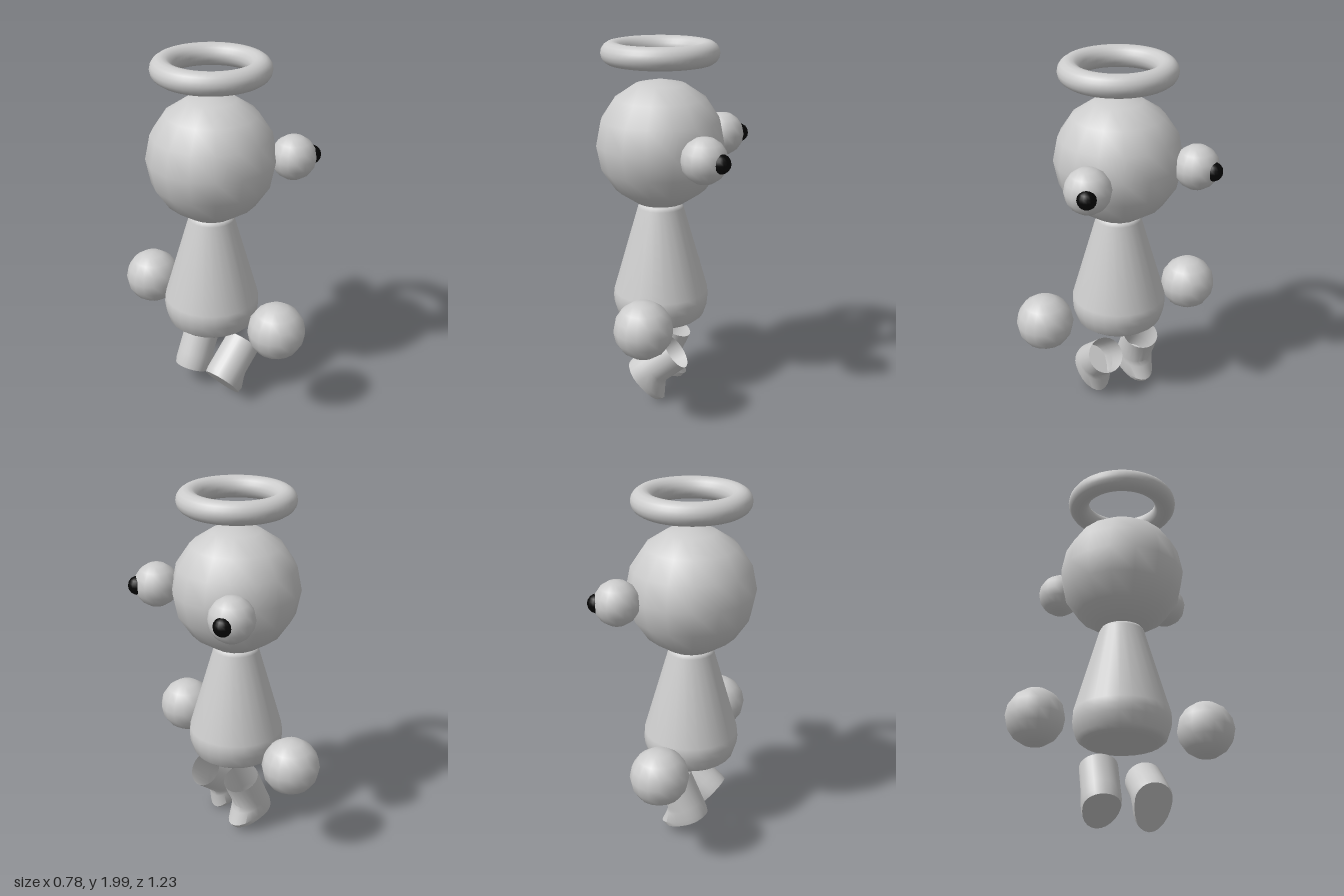
import * as THREE from 'three';
import { toCreasedNormals } from 'three/addons/utils/BufferGeometryUtils.js';

const CX = -0.043; // vertical axis of the figure, which looks toward +x

export function createModel() {
  const model = new THREE.Group();
  const grey = new THREE.MeshStandardMaterial({ color: 0xcccccc });
  const black = new THREE.MeshStandardMaterial({ color: 0x050505 });
  const open = new THREE.MeshStandardMaterial({ color: 0xcccccc, side: THREE.DoubleSide });

  const add = (name, geometry, material, x, y, z) => {
    const mesh = new THREE.Mesh(geometry, material);
    mesh.name = name;
    mesh.position.set(x, y, z);
    model.add(mesh);
    return mesh;
  };
  const ball = (r) => new THREE.SphereGeometry(r, 16, 8);
  const profile = (pairs) => pairs.map(([x, y]) => new THREE.Vector2(x, y));

  // Halo above the head
  const halo = add('halo', new THREE.TorusGeometry(0.252, 0.06, 16, 48), grey, CX, 1.94, 0);
  halo.rotation.x = Math.PI / 2;

  add('head', ball(0.347), grey, CX, 1.457, 0);

  // Tapered body with a rounded base
  add('body', new THREE.LatheGeometry(profile([
    [0, 0.46], [0.18, 0.46], [0.215, 0.468], [0.24, 0.488], [0.26, 0.55],
    [0.264, 0.59], [0.261, 0.63], [0.125, 1.105], [0.115, 1.122], [0.09, 1.13], [0, 1.13],
  ]), 24), grey, CX, 0, 0);

  // Eyes and pupils, slightly uneven from side to side
  for (const [side, eyeZ, pupilZ] of [['right', -0.31, -0.353], ['left', 0.322, 0.372]]) {
    add(side + 'Eye', ball(0.122), grey, 0.245, 1.455, eyeZ);
    add(side + 'Pupil', ball(0.051), black, 0.336, 1.455, pupilZ);
  }

  // Floating round hands
  for (const s of [-1, 1]) {
    add(s < 0 ? 'rightHand' : 'leftHand', ball(0.157), grey, CX, 0.573, s * 0.46);
  }

  // Open-topped boot: a round shaft whose lower front is stretched into a toe
  const R = 0.102;
  const boot = new THREE.LatheGeometry(profile([
    [0, 0], [R * 0.95, 0], [R, 0.03], [R, 0.085], [R, 0.11], [R, 0.262],
  ]), 24);
  const p = boot.attributes.position;
  for (let i = 0; i < p.count; i++) {
    const y = p.getY(i);
    const stretch = y < 0.04 ? 1.8 : y < 0.09 ? 1.2 : 1;
    if (p.getX(i) > 0) p.setX(i, p.getX(i) * stretch);
  }
  boot.translate(R, 0, 0);
  const bootGeometry = toCreasedNormals(boot, 0.7);
  for (const [name, x, y, z, tilt] of [
    ['frontBoot', -0.198, 0.222, 0.143, -0.89],
    ['backBoot', -0.188, 0.15, -0.113, -0.43],
  ]) {
    add(name, bootGeometry, open, x, y, z).rotation.z = tilt;
  }

  return model;
}
